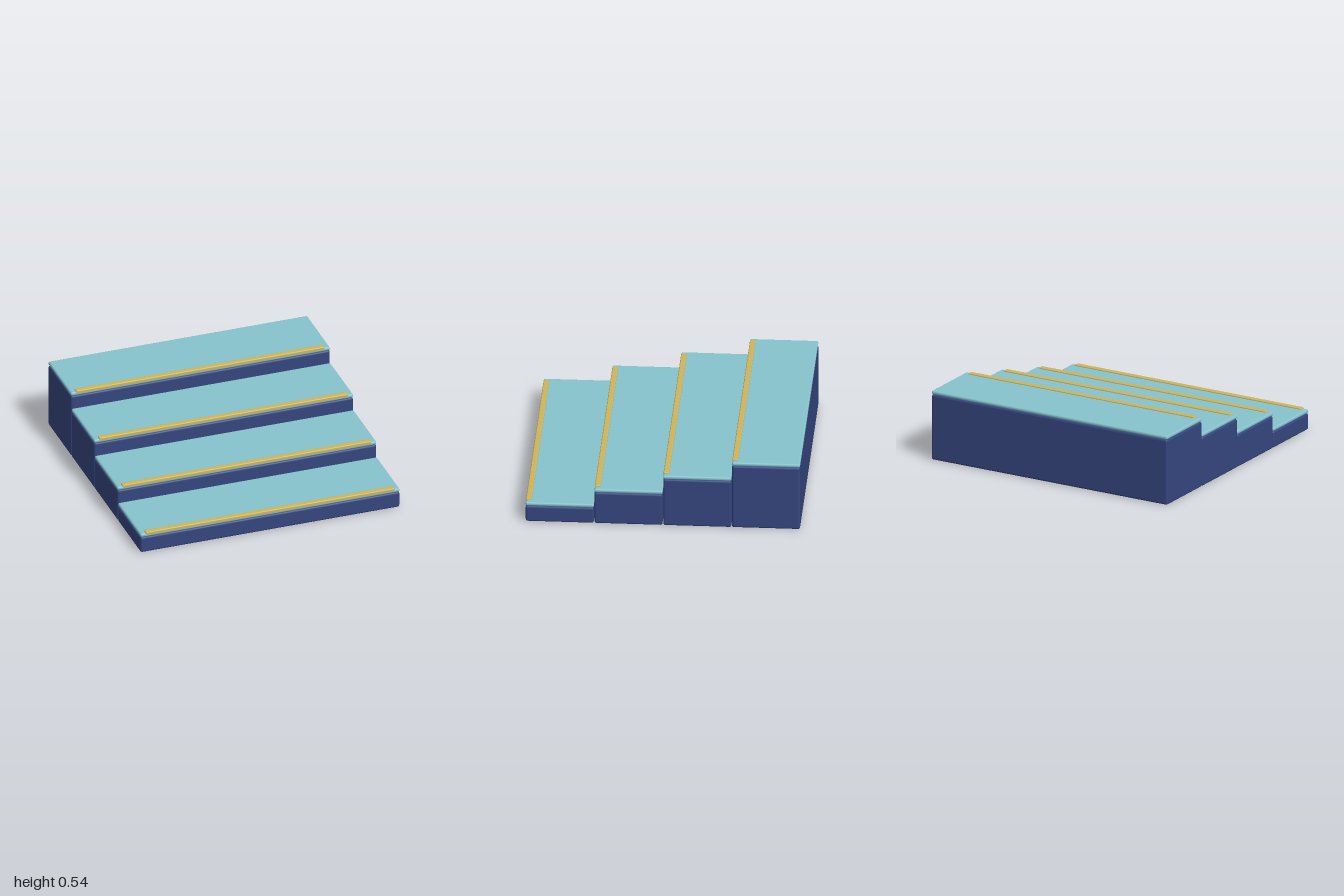
import * as THREE from 'three';
import { RoundedBoxGeometry } from 'three/addons/geometries/RoundedBoxGeometry.js';

const STEPS = 4;
const PITCH = 0.501;   // distance between step fronts
const DEPTH = 0.496;   // depth of one block
const RISE = 0.125;

function material(name, color) {
  const m = new THREE.MeshStandardMaterial({ color });
  m.name = name;
  return m;
}

// Rounded box placed by its bottom height and front face
function block(name, mat, [w, h, d], radius, bottom, front) {
  const mesh = new THREE.Mesh(new RoundedBoxGeometry(w, h, d, 3, radius), mat);
  mesh.name = name;
  mesh.position.set(0, bottom + h / 2, front - d / 2);
  return mesh;
}

export function createModel() {
  const navy = material('navy base', 0x35467f);
  const teal = material('teal tread', 0x86c3cd);
  const gold = material('gold nosing', 0xcdb55c);

  const model = new THREE.Group();
  model.name = 'steps';

  for (let i = 0; i < STEPS; i++) {
    const step = new THREE.Group();
    step.name = `step${i + 1}`;
    const top = RISE * (i + 1);
    const front = 1 - i * PITCH;

    // Solid block, thin tread on top, and a strip along the front edge
    step.add(block('riserBlock', navy, [2, top, DEPTH], 0.015, 0, front));
    step.add(block('tread', teal, [2, 0.028, DEPTH], 0.012, top + 0.001, front));
    step.add(block('nosingStrip', gold, [1.92, 0.03, 0.042], 0.008, top + 0.009, front));
    model.add(step);
  }
  return model;
}
